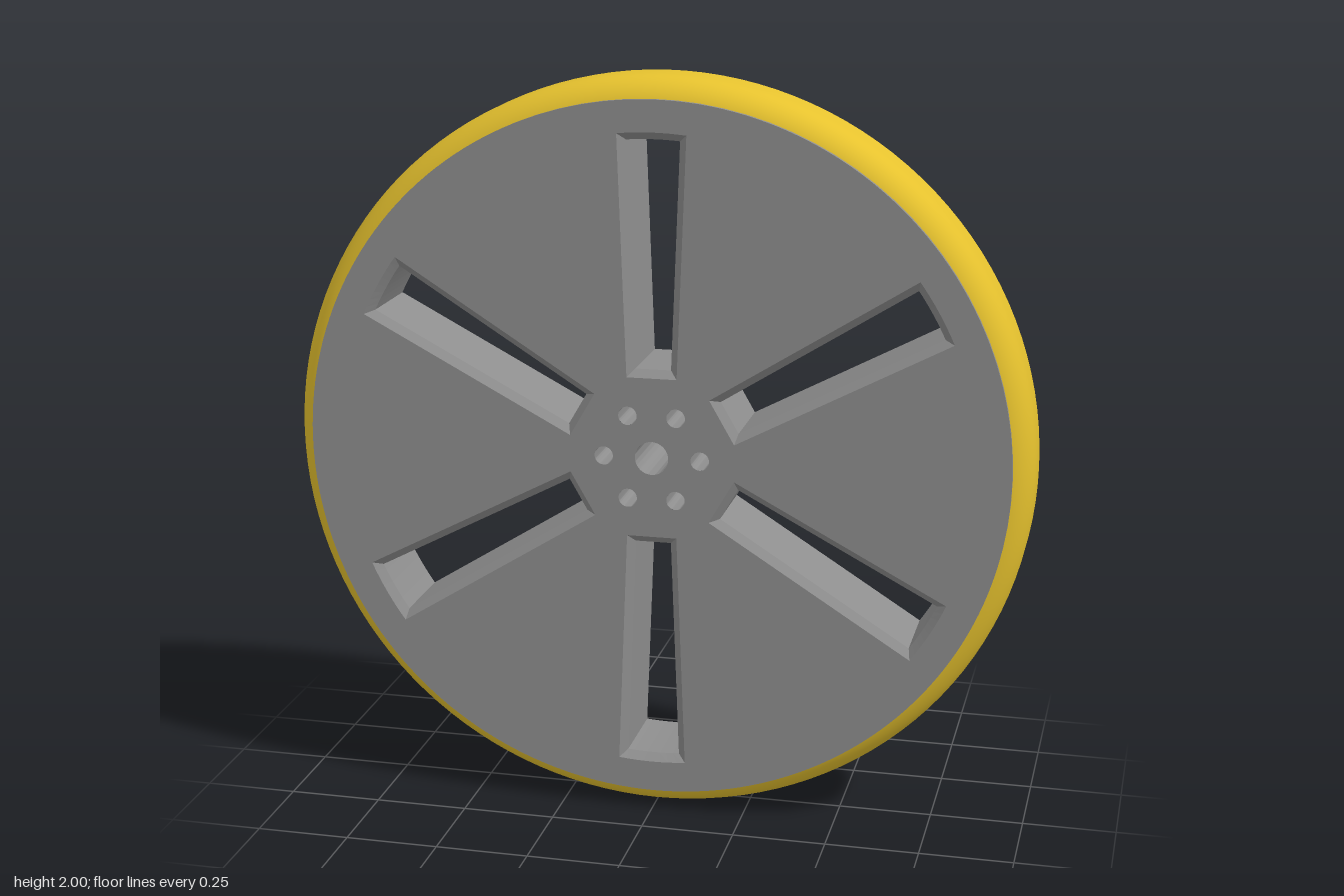
import * as THREE from 'three';
import { toCreasedNormals } from 'three/addons/utils/BufferGeometryUtils.js';

const SEG = 96;
const HALF = 0.131;        // half thickness of the disc
const DISC_R = 0.946;
const CHAMFER = 0.02;
const BOLT_CIRCLE = 0.13;
const BORE_R = 0.045, BOLT_R = 0.025, COUNTERBORE_R = 0.043;
const SHOULDER_Z = -0.09;  // floor of the counterbores

const grey = new THREE.MeshStandardMaterial({ color: 0x8e8e8e });
const yellow = new THREE.MeshStandardMaterial({ color: 0xe6c22e });

// Profile of [radius, z] turned about the wheel axis; rising z faces outward, falling z inward
function turned(profile, segments = SEG) {
  const points = profile.map(([r, z]) => new THREE.Vector2(r, z));
  const geometry = new THREE.LatheGeometry(points, segments);
  geometry.rotateX(Math.PI / 2);
  return toCreasedNormals(geometry, 0.6);
}

// Outline of the slot along the angle a, grown outward by the distance grow
function slotOutline(a, grow) {
  const inner = 0.237 - grow, outer = 0.842 + grow;
  const halfWidth = (r) => 0.039 + 0.038 * r + grow;
  const spread = Math.asin(halfWidth(outer) / outer);
  const points = [new THREE.Vector2(halfWidth(inner), inner)];
  for (let i = 0; i <= 8; i++) {
    const t = spread * (1 - i / 4);
    points.push(new THREE.Vector2(Math.sin(t) * outer, Math.cos(t) * outer));
  }
  points.push(new THREE.Vector2(-halfWidth(inner), inner));
  return points.map((p) => p.rotateAround(new THREE.Vector2(), a));
}

// Inward-facing wall of a slot: chamfer, straight run, chamfer
function slotWall(a) {
  const wide = slotOutline(a, CHAMFER), narrow = slotOutline(a, 0);
  const rings = [[wide, HALF], [narrow, HALF - CHAMFER], [narrow, CHAMFER - HALF], [wide, -HALF]];
  const positions = [];
  for (let k = 0; k < 3; k++) {
    const [front, zf] = rings[k], [back, zb] = rings[k + 1];
    front.forEach((f0, i) => {
      const j = (i + 1) % front.length;
      const f1 = front[j], b0 = back[i], b1 = back[j];
      positions.push(f0.x, f0.y, zf, f1.x, f1.y, zf, b0.x, b0.y, zb);
      positions.push(f1.x, f1.y, zf, b1.x, b1.y, zb, b0.x, b0.y, zb);
    });
  }
  const geometry = new THREE.BufferGeometry();
  geometry.setAttribute('position', new THREE.Float32BufferAttribute(positions, 3));
  geometry.computeVertexNormals();
  return geometry;
}

// Flat face of the disc, pierced by slots, centre bore and bolt holes
function discFace(boltRadius) {
  const shape = new THREE.Shape().absarc(0, 0, DISC_R, 0, Math.PI * 2);
  shape.holes.push(new THREE.Path().absarc(0, 0, BORE_R, 0, Math.PI * 2, true));
  for (let i = 0; i < 6; i++) {
    const a = i * Math.PI / 3;
    shape.holes.push(new THREE.Path().setFromPoints(slotOutline(a, CHAMFER)));
    shape.holes.push(new THREE.Path().absarc(
      Math.cos(a) * BOLT_CIRCLE, Math.sin(a) * BOLT_CIRCLE, boltRadius, 0, Math.PI * 2, true));
  }
  return new THREE.ShapeGeometry(shape, SEG);
}

export function createModel() {
  const wheel = new THREE.Group();
  wheel.name = 'wheel';
  const add = (name, geometry, material, parent) => {
    const mesh = new THREE.Mesh(geometry, material);
    mesh.name = name;
    parent.add(mesh);
    return mesh;
  };

  // Tyre with rounded shoulders
  const round = 0.09, tyreHalf = 0.126;
  const profile = [[0.88, -tyreHalf]];
  for (const side of [-1, 1]) {
    for (let i = 0; i <= 10; i++) {
      const t = (side < 0 ? i - 10 : i) / 10 * Math.PI / 2;
      profile.push([1 - round + Math.cos(t) * round, side * (tyreHalf - round) + Math.sin(t) * round]);
    }
  }
  profile.push([0.88, tyreHalf]);
  add('tyre', turned(profile, 128), yellow, wheel);

  // Disc faces and rim
  const disc = new THREE.Group();
  disc.name = 'disc';
  wheel.add(disc);
  add('frontFace', discFace(BOLT_R), grey, disc).position.z = HALF;
  const backFace = add('backFace', discFace(COUNTERBORE_R), grey, disc);
  backFace.rotation.y = Math.PI;
  backFace.position.z = -HALF;
  add('discRim', turned([[DISC_R, -HALF], [DISC_R, HALF]]), grey, disc);

  // Centre bore, counterbored bolt holes and chamfered slots
  add('centreBore', turned([[BORE_R, HALF], [BORE_R, -HALF]]), grey, disc);
  const boltHole = turned([
    [BOLT_R, HALF], [BOLT_R, SHOULDER_Z], [COUNTERBORE_R, SHOULDER_Z], [COUNTERBORE_R, -HALF],
  ]);
  for (let i = 0; i < 6; i++) {
    const a = i * Math.PI / 3;
    add('boltHole', boltHole, grey, disc)
      .position.set(Math.cos(a) * BOLT_CIRCLE, Math.sin(a) * BOLT_CIRCLE, 0);
    add('slotWall', slotWall(a), grey, disc);
  }

  wheel.position.y = 1;
  const model = new THREE.Group();
  model.name = 'slottedWheel';
  model.add(wheel);
  return model;
}
